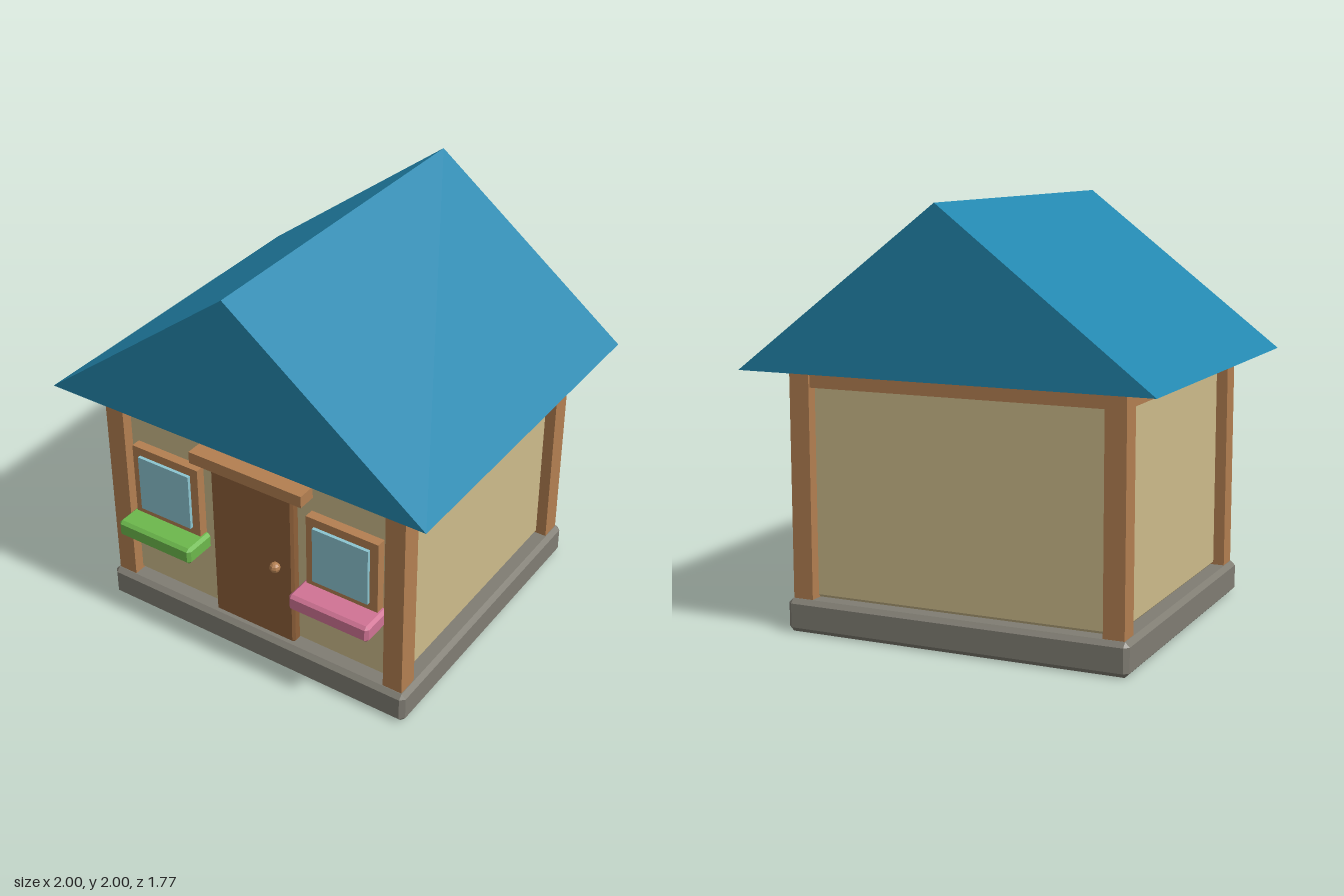
import * as THREE from 'three';
import { ConvexGeometry } from 'three/addons/geometries/ConvexGeometry.js';

const mat = (name, color) => {
  const m = new THREE.MeshStandardMaterial({ color, flatShading: true });
  m.name = name;
  return m;
};

// Box from min to max corner
function box(min, max) {
  const g = new THREE.BoxGeometry(...max.map((v, i) => v - min[i]));
  return g.translate(...max.map((v, i) => (v + min[i]) / 2));
}

// Box with every edge cut by c
function chamferBox(min, max, c) {
  const points = [];
  for (let corner = 0; corner < 8; corner++) {
    for (let axis = 0; axis < 3; axis++) {
      const p = [0, 1, 2].map((i) => {
        const high = (corner >> i) & 1;
        const inset = i === axis ? 0 : c;
        return high ? max[i] - inset : min[i] + inset;
      });
      points.push(new THREE.Vector3(...p));
    }
  }
  return new ConvexGeometry(points);
}

export function createModel() {
  const stone = mat('stone', 0x807d73);
  const plaster = mat('plaster', 0xcdbb8b);
  const timber = mat('timber', 0xb37f51);
  const doorWood = mat('door wood', 0x8d5f39);
  const roofBlue = mat('roof blue', 0x2387ae);
  const glass = mat('glass', 0x8cc5d0);
  const green = mat('planter green', 0x6cb84c);
  const pink = mat('planter pink', 0xd07394);

  const house = new THREE.Group();
  house.name = 'cottage';
  const add = (name, geometry, material, parent = house) => {
    const mesh = new THREE.Mesh(geometry, material);
    mesh.name = name;
    parent.add(mesh);
    return mesh;
  };

  // Foundation and walls
  add('foundation', chamferBox([-0.845, 0, -0.77], [0.845, 0.158, 0.77], 0.022), stone);
  add('walls', chamferBox([-0.765, 0.152, -0.69], [0.765, 1.24, 0.69], 0.02), plaster);

  // Corner posts and the beams between them
  for (const sx of [-1, 1]) {
    for (const sz of [-1, 1]) {
      const post = box([-0.05, 0.155, -0.053], [0.05, 1.236, 0.053]);
      add('cornerPost', post.translate(sx * 0.77, 0, sz * 0.692), timber);
    }
  }
  for (const s of [-1, 1]) {
    const long = box([-0.73, 1.15, -0.04], [0.73, 1.236, 0.04]);
    add('longBeam', long.translate(0, 0, s * 0.695), timber);
    const side = box([-0.04, 1.15, -0.65], [0.04, 1.236, 0.65]);
    add('sideBeam', side.translate(s * 0.77, 0, 0), timber);
  }

  // Gable roof, a solid prism
  const gable = new THREE.Shape([
    new THREE.Vector2(-1, 1.234),
    new THREE.Vector2(1, 1.234),
    new THREE.Vector2(0, 2),
  ]);
  const roof = new THREE.ExtrudeGeometry(gable, { depth: 1.77, bevelEnabled: false });
  add('roof', roof.translate(0, 0, -0.885), roofBlue);

  // Door, knob and lintel
  add('door', chamferBox([-0.23, 0.155, 0.66], [0.225, 1.0, 0.735], 0.012), doorWood);
  add('doorKnob', new THREE.SphereGeometry(0.027, 8, 6).translate(0.135, 0.582, 0.75), timber);
  add('lintel', box([-0.308, 1.01, 0.68], [0.308, 1.07, 0.782]), timber);

  // Windows with planters
  for (const s of [-1, 1]) {
    const win = new THREE.Group();
    win.name = s > 0 ? 'leftWindow' : 'rightWindow';
    win.position.x = s * 0.492;
    house.add(win);
    add('windowFrame', box([-0.19, 0.557, 0.68], [0.19, 0.938, 0.738]), timber, win);
    add('windowPane', box([-0.147, 0.6, 0.73], [0.147, 0.895, 0.755]), glass, win);
    add('planter', chamferBox([-0.213, 0.475, 0.68], [0.213, 0.562, 0.857], 0.015), s > 0 ? pink : green, win);
  }

  return house;
}
